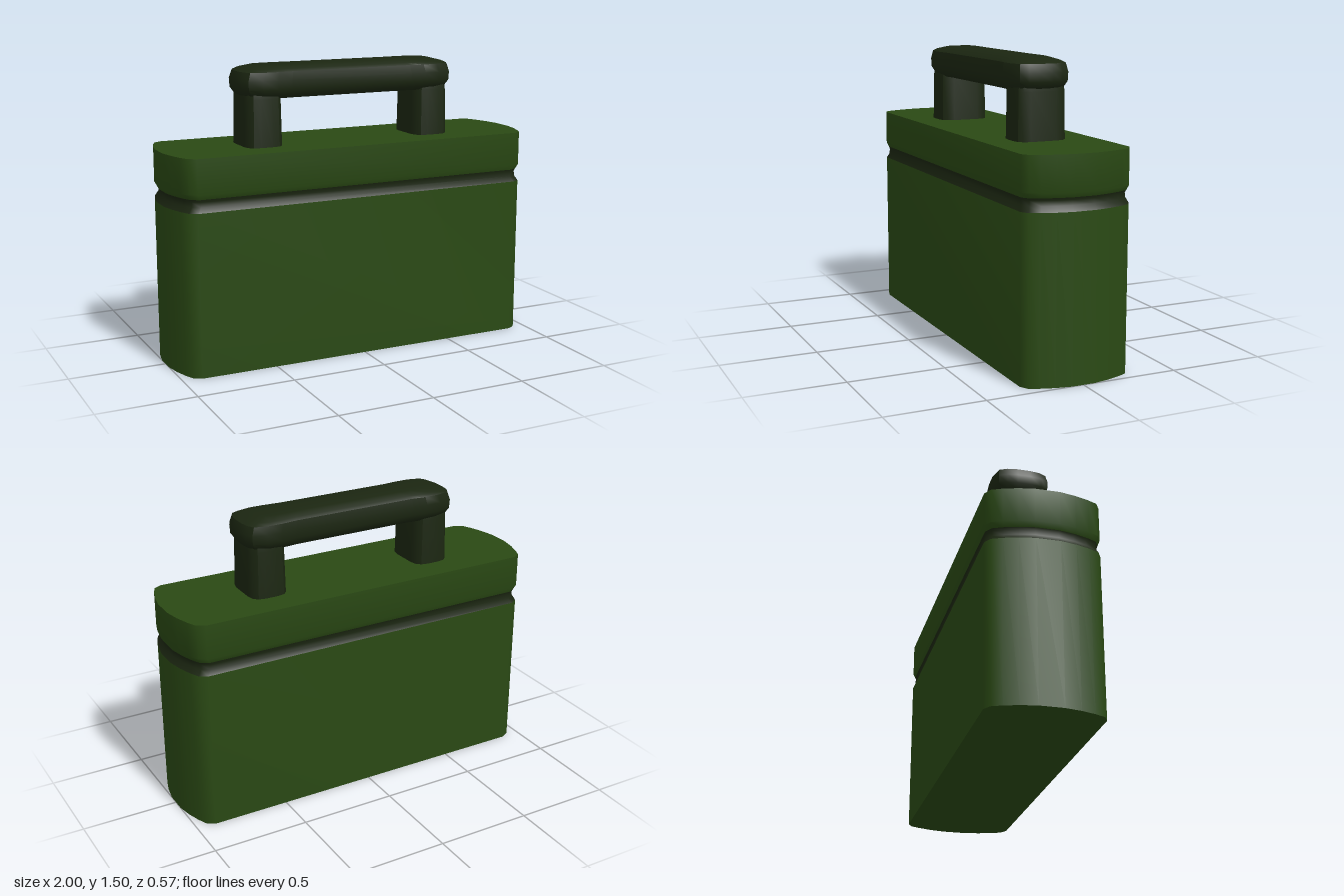
import * as THREE from 'three';
import { toCreasedNormals } from 'three/addons/utils/BufferGeometryUtils.js';

// Mirror a quarter outline (from the +x side round to the +z side) into a closed loop
function fullOutline(quarter) {
  const back = [...quarter].reverse();
  return [
    ...quarter,
    ...back.map(([x, z]) => [-x, z]),
    ...quarter.map(([x, z]) => [-x, -z]),
    ...back.map(([x, z]) => [x, -z]),
  ];
}

// Stack an outline into rings of [y, xInset, zInset], optionally capped
function loft(quarter, rings, crease, capBottom = true, capTop = true) {
  const loop = fullOutline(quarter);
  const n = loop.length;
  const hx = Math.max(...quarter.map((p) => p[0]));
  const hz = Math.max(...quarter.map((p) => p[1]));
  const pos = [];
  const index = [];
  for (const [y, ix, iz] of rings) {
    for (const [x, z] of loop) pos.push(x * (1 - ix / hx), y, z * (1 - iz / hz));
  }
  const top = (rings.length - 1) * n;
  const c0 = rings.length * n;
  pos.push(0, rings[0][0], 0, 0, rings[rings.length - 1][0], 0);
  for (let j = 0; j < n; j++) {
    const k = (j + 1) % n;
    for (let i = 0; i < rings.length - 1; i++) {
      const a = i * n + j, b = i * n + k, c = b + n, d = a + n;
      index.push(a, d, c, a, c, b);
    }
    if (capBottom) index.push(c0, j, k);
    if (capTop) index.push(c0 + 1, top + k, top + j);
  }
  const geo = new THREE.BufferGeometry();
  geo.setAttribute('position', new THREE.Float32BufferAttribute(pos, 3));
  geo.setIndex(index);
  return toCreasedNormals(geo, crease);
}

export function createModel() {
  const group = new THREE.Group();
  const green = new THREE.MeshStandardMaterial({ color: 0x2a4914 });
  const dark = new THREE.MeshStandardMaterial({ color: 0x1b2611 });

  const add = (name, geometry, material, x = 0) => {
    const mesh = new THREE.Mesh(geometry, material);
    mesh.name = name;
    mesh.position.x = x;
    group.add(mesh);
  };

  // Case: long sides flat, ends gently bowed with rounded corners
  const caseOutline = [[1, 0.06], [0.985, 0.14], [0.963, 0.21], [0.94, 0.262], [0.9, 0.285]];
  add('caseBody', loft(caseOutline, [[0, 0, 0], [0.835, 0, 0]], 0.7, true, false), green);
  add('caseGroove', loft(caseOutline,
    [[0.835, 0, 0], [0.862, 0.018, 0.011], [0.888, 0.02, 0.012], [0.9, 0.014, 0.008]], 0.9, false, false), dark);
  add('caseLid', loft(caseOutline,
    [[0.9, 0.014, 0.008], [0.925, 0, 0], [1.102, 0, 0]], 0.7, false, true), green);

  // Handle posts: slightly tapered blocks with rounded corners
  const postOutline = [[0.1, 0.07], [0.092, 0.105], [0.07, 0.128], [0.03, 0.135]];
  for (const side of [-1, 1]) {
    add(side > 0 ? 'leftHandlePost' : 'rightHandlePost',
      loft(postOutline, [[1.09, 0, 0], [1.345, 0.005, 0.004], [1.38, 0.008, 0.008]], 0.6), dark, side * 0.477);
  }

  // Grip: rounded bar, a little wider over the posts than in the middle
  const gripOutline = [[0.6, 0.035], [0.592, 0.09], [0.572, 0.13], [0.5, 0.15], [0.42, 0.15], [0.34, 0.141]];
  add('handleGrip', loft(gripOutline, [
    [1.343, 0.05, 0.04], [1.362, 0.022, 0.015], [1.39, 0.003, 0.002], [1.435, 0, 0],
    [1.478, 0.014, 0.008], [1.49, 0.04, 0.025], [1.505, 0.1, 0.07],
  ], 0.7), dark);

  return group;
}
